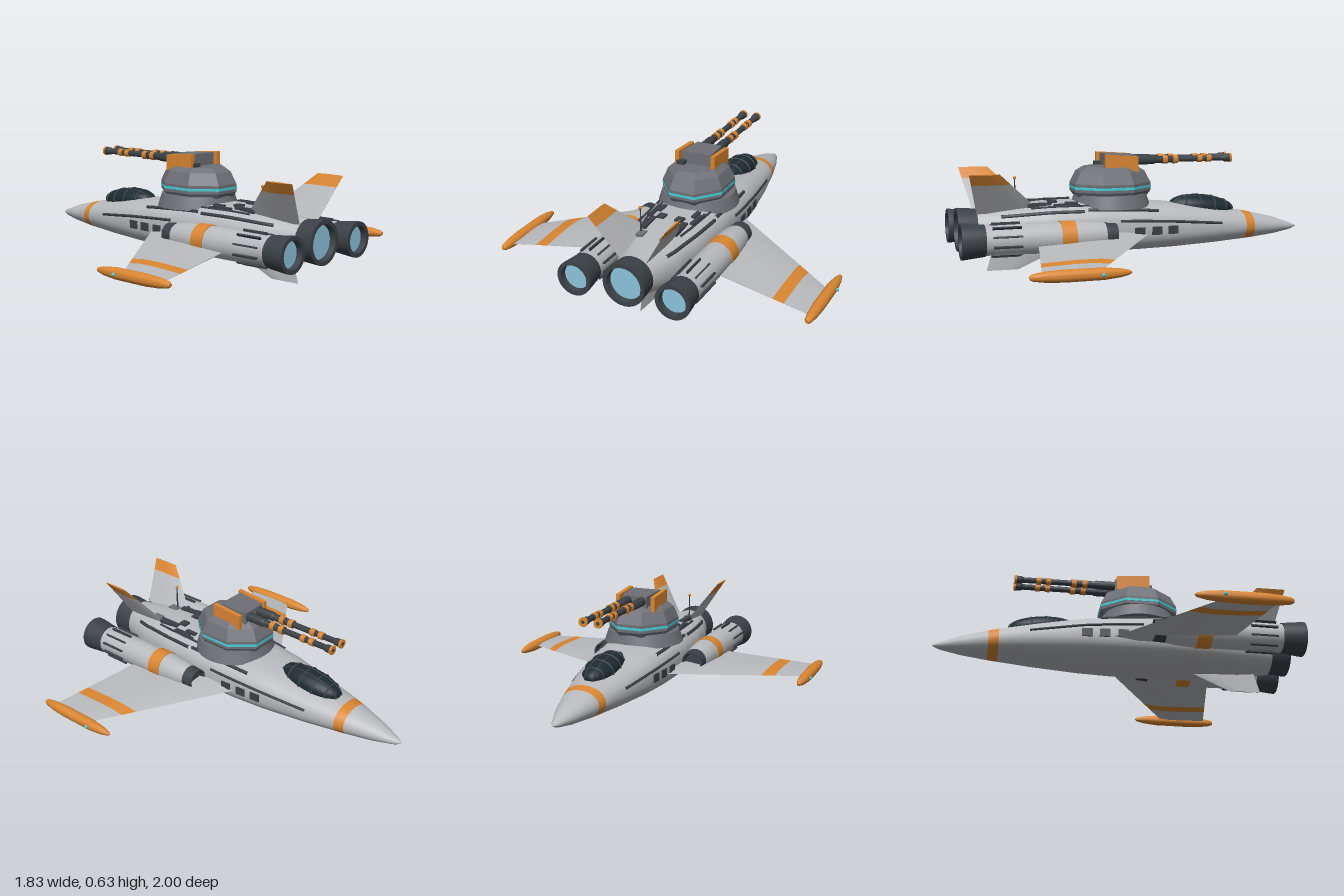
import * as THREE from 'three';
import { toCreasedNormals } from 'three/addons/utils/BufferGeometryUtils.js';

const paint = (name, color) => Object.assign(new THREE.MeshStandardMaterial({ color }), { name });
const V = (x, y, z) => new THREE.Vector3(x, y, z);

// Hull stations: z, half width, bottom y, top y, squareness
const STATIONS = [
  [-1, 0.002, 0.167, 0.171, 2], [-0.96, 0.026, 0.15, 0.19, 2], [-0.85, 0.066, 0.13, 0.228, 2],
  [-0.7, 0.107, 0.115, 0.265, 2.1], [-0.645, 0.12, 0.111, 0.276, 2.1], [-0.45, 0.16, 0.1, 0.307, 2.3],
  [-0.2, 0.198, 0.092, 0.342, 2.6], [0, 0.214, 0.09, 0.357, 2.8], [0.25, 0.22, 0.09, 0.37, 2.9],
  [0.5, 0.205, 0.092, 0.37, 2.8], [0.7, 0.168, 0.1, 0.357, 2.5], [0.88, 0.11, 0.122, 0.345, 2],
];

function hullPoint(z, angle) {
  let i = 0;
  while (i < STATIONS.length - 2 && z > STATIONS[i + 1][0]) i++;
  const [a, b] = [STATIONS[i], STATIONS[i + 1]];
  const t = (z - a[0]) / (b[0] - a[0]);
  const [, w, lo, hi, n] = a.map((v, k) => THREE.MathUtils.lerp(v, b[k], t));
  const p = (v) => Math.sign(v) * Math.abs(v) ** (2 / n);
  return V(w * p(Math.cos(angle)), (lo + hi) / 2 + ((hi - lo) / 2) * p(Math.sin(angle)), z);
}

// Skin closed rings (counter-clockwise about the direction of travel)
function loft(rings, capped) {
  const n = rings[0].length, index = [];
  for (let i = 0; i < rings.length - 1; i++) for (let j = 0; j < n; j++) {
    const a = i * n + j, b = i * n + (j + 1) % n;
    index.push(a, b, a + n, b, b + n, a + n);
  }
  if (capped) for (let j = 1; j < n - 1; j++) {
    const e = (rings.length - 1) * n;
    index.push(0, j + 1, j, e, e + j, e + j + 1);
  }
  const geo = new THREE.BufferGeometry().setFromPoints(rings.flat());
  geo.setIndex(index);
  geo.computeVertexNormals();
  return geo;
}

// Thin wing or fin between two sections [x, y, leading z, trailing z, thickness]
function panelGeometry(a, b) {
  const normal = V(b[0] - a[0], b[1] - a[1], 0).cross(V(0, 0, -1)).normalize();
  const outline = [[0, 0], [0.2, 0.45], [0.5, 0.5], [1, 0.05], [1, -0.05], [0.5, -0.5], [0.2, -0.45]];
  const ring = ([x, y, z0, z1, t]) =>
    outline.map(([u, v]) => V(x, y, z0 + (z1 - z0) * u).addScaledVector(normal, v * t));
  return toCreasedNormals(loft([ring(a), ring(b)], true), 0.3);
}
const mix = (a, b, t) => a.map((v, i) => v + (b[i] - v) * t);

export function createModel() {
  const root = new THREE.Group();
  root.name = 'starfighter';
  const hull = paint('hullGrey', 0xb9babd), orange = paint('orange', 0xd98632);
  const dark = paint('darkMetal', 0x3b4147), turretGrey = paint('turretGrey', 0x6e7076);
  const cyan = paint('cyanLight', 0x48cdd6), glow = paint('engineGlow', 0x8cc4dc);
  const glass = paint('canopyGlass', 0x1c2b31);

  const add = (name, geo, mat, x = 0, y = 0, z = 0) => {
    const m = new THREE.Mesh(geo, mat);
    m.name = name;
    m.position.set(x, y, z);
    root.add(m);
    return m;
  };
  const box = (name, mat, w, h, d, x, y, z) => add(name, new THREE.BoxGeometry(w, h, d), mat, x, y, z);
  // Turned part along z from [radius, z] pairs
  const turned = (name, mat, pts, x, y, sides = 32) => {
    const geo = new THREE.LatheGeometry(pts.map((p) => new THREE.Vector2(...p)), sides).rotateX(Math.PI / 2);
    return add(name, toCreasedNormals(geo, 0.5), mat, x, y);
  };

  // Fuselage with an orange nose band
  const body = (name, mat, z0, z1, steps) => {
    const rings = [];
    for (let i = 0; i <= steps; i++) {
      const z = z0 + (z1 - z0) * i / steps;
      rings.push(Array.from({ length: 48 }, (_, j) => hullPoint(z, j / 24 * Math.PI)));
    }
    add(name, loft(rings), mat);
  };
  body('nose', hull, -1, -0.7, 16);
  body('noseBand', orange, -0.7, -0.645, 2);
  body('fuselage', hull, -0.645, 0.88, 50);

  // Canopy with frame bars
  const canopy = new THREE.Group();
  canopy.name = 'canopy';
  canopy.position.set(0, 0.31, -0.41);
  canopy.rotation.x = -0.1;
  root.add(canopy);
  const dome = new THREE.Mesh(new THREE.SphereGeometry(1, 32, 20).scale(0.083, 0.064, 0.188), glass);
  dome.name = 'canopyGlass';
  canopy.add(dome);
  for (const k of [-0.7, -0.3, 0.15, 0.6]) {
    const r = 0.084 * Math.sqrt(1 - k * k);
    const bar = new THREE.Mesh(new THREE.TorusGeometry(r, 0.005, 6, 32).scale(1, 0.77, 1), dark);
    bar.name = 'canopyFrame';
    bar.position.z = k * 0.188;
    canopy.add(bar);
  }
  for (const x of [-0.3, 0.3]) {
    const r = Math.sqrt(1 - x * x);
    const rail = new THREE.Mesh(new THREE.TorusGeometry(r, 0.04, 6, 48).rotateY(Math.PI / 2).scale(0.1, 0.064, 0.188), dark);
    rail.name = 'canopyRail';
    rail.position.x = x * 0.083;
    canopy.add(rail);
  }

  // Turret: round base, stretched octagonal housing, light band
  add('turretBase', new THREE.CylinderGeometry(0.2, 0.222, 0.07, 40), turretGrey, 0, 0.37, 0.13);
  const octagon = (name, mat, pts) => {
    const geo = new THREE.LatheGeometry(pts.map((p) => new THREE.Vector2(...p)), 8, Math.PI / 8);
    geo.scale(0.175 * 1.082, 1, 0.213 * 1.082);
    add(name, toCreasedNormals(geo, 0.1), mat, 0, 0, 0.13);
  };
  octagon('turretHousing', turretGrey, [[0, 0.395], [0.92, 0.395], [1, 0.42], [1, 0.465], [0.85, 0.53], [0.66, 0.555], [0, 0.557]]);
  octagon('turretLight', cyan, [[1, 0.436], [1.012, 0.436], [1.012, 0.45], [1, 0.45]]);
  const mount = new THREE.BoxGeometry(0.17, 0.08, 0.17);
  for (let i = 0, p = mount.attributes.position; i < p.count; i++) {
    if (p.getZ(i) < 0) p.setXYZ(i, p.getX(i) * 0.85, p.getY(i) - (p.getY(i) > 0 ? 0.008 : 0), p.getZ(i));
  }
  add('gunMount', mount, turretGrey, 0, 0.582, 0.08);
  box('turretSensor', dark, 0.045, 0.03, 0.05, -0.08, 0.56, 0.175);

  for (const s of [-1, 1]) {
    // Turret cheek plates with a sloped top
    const cheek = new THREE.Shape([[-0.185, 0.528], [0, 0.528], [0, 0.612], [-0.185, 0.626]].map((p) => new THREE.Vector2(...p)));
    add('turretCheek', new THREE.ExtrudeGeometry(cheek, { depth: 0.024, bevelEnabled: false }).rotateY(Math.PI / 2),
      orange, s * 0.105 - 0.012);

    // Gun barrels
    const gx = s * 0.042, gy = 0.585;
    turned('gunBarrel', dark, [[0, -0.57], [0.023, -0.57], [0.021, -0.53], [0.016, -0.52], [0.016, -0.25],
      [0.02, -0.25], [0.02, -0.12], [0.025, -0.11], [0.025, 0.03], [0, 0.03]], gx, gy, 16);
    for (const [z, r] of [[-0.565, 0.025], [-0.435, 0.021], [-0.38, 0.021], [-0.235, 0.024], [-0.175, 0.024]]) {
      const d = z < -0.5 ? 0.006 : 0.014;
      turned('barrelRing', orange, [[0.01, z - d], [r, z - d], [r, z + d], [0.01, z + d]], gx, gy, 16);
    }

    // Wings with an orange band
    const wingRoot = [s * 0.18, 0.197, -0.048, 0.578, 0.042], tip = [s * 0.86, 0.135, 0.425, 0.697, 0.012];
    const cut = [0, (0.655 - 0.18) / 0.68, (0.72 - 0.18) / 0.68, 1].map((t) => mix(wingRoot, tip, t));
    ['wing', 'wingBand', 'wingTip'].forEach((name, i) =>
      add(name, panelGeometry(cut[i], cut[i + 1]), i === 1 ? orange : hull));

    // Wing tip pods
    turned('tipPod', orange, [[0, 0.26], [0.012, 0.275], [0.022, 0.32], [0.03, 0.4], [0.031, 0.6], [0.026, 0.69],
      [0.018, 0.745], [0.01, 0.76], [0, 0.762]], s * 0.875, 0.133, 24);
    add('podLight', new THREE.SphereGeometry(0.01, 12, 8), cyan, s * 0.905, 0.133, 0.41);

    // Engine nacelles
    const nx = s * 0.275, ny = 0.215;
    turned('intake', dark, [[0, 0.2], [0.045, 0.2], [0.052, 0.172], [0.06, 0.172], [0.065, 0.235], [0, 0.235]], nx, ny);
    turned('nacelle', hull, [[0, 0.22], [0.062, 0.22], [0.073, 0.29], [0.08, 0.38], [0.081, 0.6], [0.078, 0.88], [0, 0.88]], nx, ny);
    turned('nacelleBand', orange, [[0.07, 0.4], [0.084, 0.4], [0.084, 0.48], [0.07, 0.48]], nx, ny);
    turned('nozzle', dark, [[0, 0.875], [0.083, 0.875], [0.095, 0.985], [0.095, 1], [0.073, 1], [0.07, 0.965], [0, 0.965]], nx, ny);
    add('engineGlow', new THREE.CircleGeometry(0.07, 32), glow, nx, ny, 0.968);
    for (let i = 0; i < 10; i++) {
      const a = (i + 0.5) / 10 * Math.PI * 2;
      box('coolingFin', dark, 0.02, 0.009, 0.15, nx + 0.082 * Math.cos(a), ny + 0.082 * Math.sin(a), 0.765).rotation.z = a;
    }

    // Canted tail fins with orange tips
    const finRoot = [s * 0.075, 0.325, 0.54, 0.885, 0.016], finTip = [s * 0.212, 0.548, 0.78, 0.94, 0.009];
    const finCut = mix(finRoot, finTip, 0.74);
    add('tailFin', panelGeometry(finRoot, finCut), hull);
    add('tailFinTip', panelGeometry(finCut, finTip), orange);

    // Trim strips following the hull
    const strip = (z0, z1, angle, r) => {
      const pts = Array.from({ length: 9 }, (_, i) => hullPoint(z0 + (z1 - z0) * i / 8, angle));
      pts.forEach((p) => { p.x *= s; });
      add('trimStrip', new THREE.TubeGeometry(new THREE.CatmullRomCurve3(pts), 24, r, 6), dark);
    };
    strip(-0.48, 0.13, 0.22, 0.008);
    strip(-0.1, 0.3, 0.72, 0.01);
    strip(0.32, 0.76, 0.66, 0.01);
    strip(0.2, 0.6, 1.0, 0.007);

    // Side ports
    for (const z of [0.02, -0.08, -0.175]) {
      box('sidePort', dark, 0.014, 0.045, 0.058, s * (hullPoint(z, 0).x - 0.001), 0.212, z).rotation.y = s * 0.07;
    }

    // Deck details: x, z, width, length
    for (const [x, z, w, d] of [[0.09, 0.55, 0.034, 0.13], [0.1, 0.375, 0.024, 0.07], [0.052, 0.47, 0.042, 0.045],
      [0.125, 0.42, 0.026, 0.11], [0.135, 0.36, 0.016, 0.05]]) {
      box('deckBlock', dark, w, 0.022, d, s * x, hullPoint(z, Math.acos(Math.min(1, (x / 0.21) ** 1.4))).y, z);
    }
    box('deckPlate', turretGrey, 0.042, 0.02, 0.06, s * 0.07, 0.353, 0.665);
  }

  // Main engine
  turned('mainNozzle', dark, [[0, 0.865], [0.108, 0.865], [0.117, 0.97], [0.117, 0.985], [0.095, 0.985], [0.09, 0.95], [0, 0.95]], 0, 0.235);
  add('mainGlow', new THREE.CircleGeometry(0.091, 40), glow, 0, 0.235, 0.953);

  // Belly fin
  add('bellyFin', panelGeometry([0, 0.12, 0.38, 0.79, 0.014], [0, 0, 0.65, 0.825, 0.008]), hull);

  // Antenna
  add('antenna', new THREE.CylinderGeometry(0.003, 0.005, 0.14, 8), dark, -0.08, 0.425, 0.65);
  add('antennaTip', new THREE.SphereGeometry(0.009, 12, 8), orange, -0.08, 0.495, 0.65);

  return root;
}
